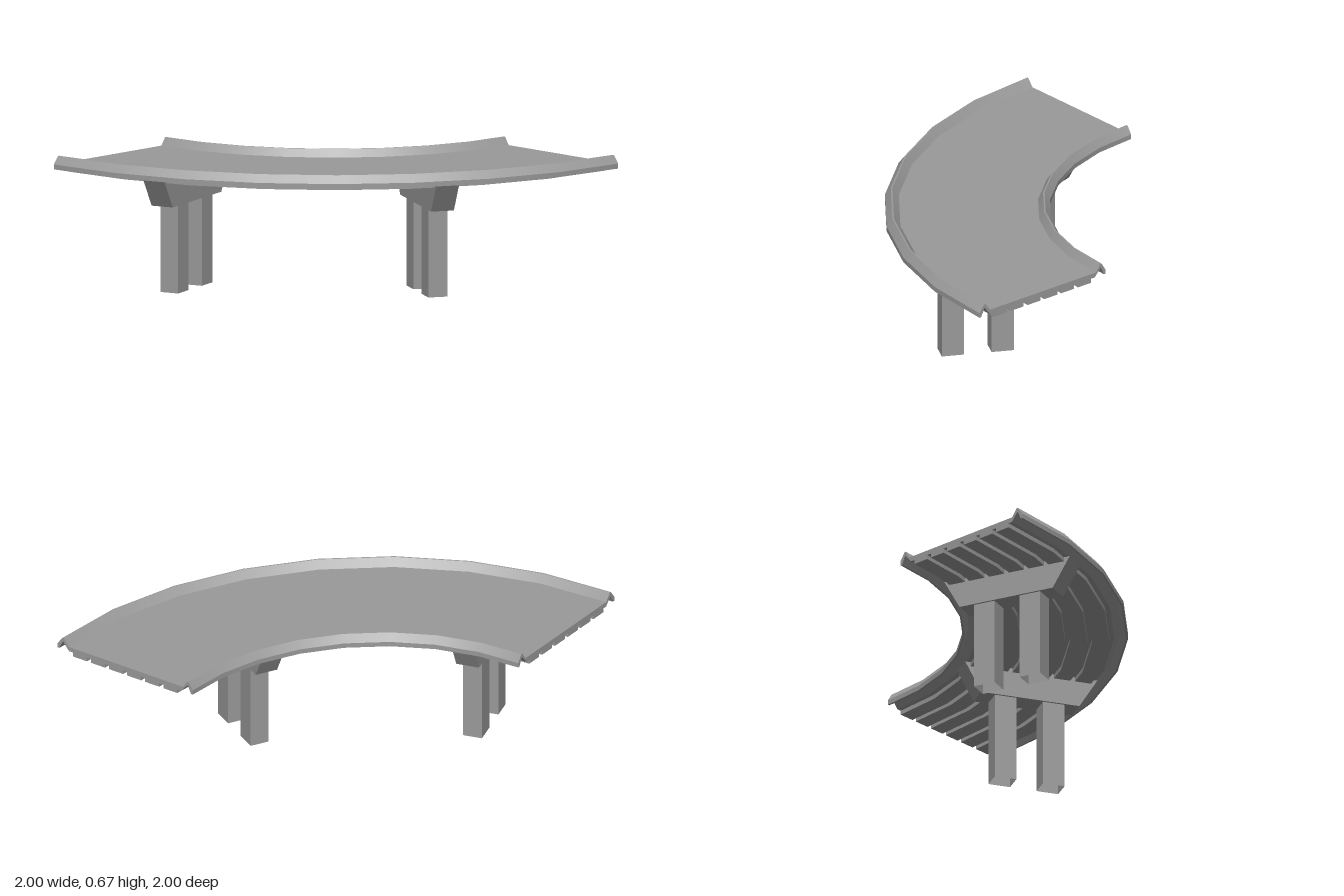
import * as THREE from 'three';
import { mergeGeometries } from 'three/addons/utils/BufferGeometryUtils.js';

const material = new THREE.MeshStandardMaterial({ color: 0x9a9a9a, side: THREE.DoubleSide });

const SEGMENTS = 8;

// Sweep a closed counter-clockwise (radius, y) profile through the quarter bend:
// smooth along the bend, sharp across the profile, with capped ends
function sweep(profile) {
  const points = profile.map(([r, y]) => new THREE.Vector2(r, y));
  const strips = points.map((p, i) => new THREE.LatheGeometry(
    [p, points[(i + 1) % points.length]], SEGMENTS, 0, Math.PI / 2));
  const endA = new THREE.ShapeGeometry(new THREE.Shape(points)).rotateY(-Math.PI / 2);
  const endB = new THREE.ShapeGeometry(new THREE.Shape(points));
  // turn the second cap's faces outwards
  const index = endB.index.array;
  for (let i = 0; i < index.length; i += 3) [index[i], index[i + 1]] = [index[i + 1], index[i]];
  endB.attributes.normal.array.forEach((v, i, a) => { a[i] = -v; });
  return mergeGeometries([...strips, endA, endB]);
}

function addMesh(parent, name, geometry) {
  const mesh = new THREE.Mesh(geometry, material);
  mesh.name = name;
  parent.add(mesh);
}

// Support: tapered cross beam along local x (the bend radius) on two hollow square legs
function createPier() {
  const pier = new THREE.Group();
  pier.name = 'pier';
  const thickness = 0.12;
  const outline = new THREE.Shape([
    [1.315, 0.45], [1.835, 0.45], [1.93, 0.605], [1.23, 0.605],
  ].map(([x, y]) => new THREE.Vector2(x, y)));
  addMesh(pier, 'crossBeam', new THREE.ExtrudeGeometry(outline, { depth: thickness, bevelEnabled: false })
    .translate(0, 0, -thickness / 2));
  for (const radius of [1.448, 1.703]) {
    const leg = new THREE.CylinderGeometry(Math.SQRT1_2, Math.SQRT1_2, 1, 4, 1, true)
      .rotateY(Math.PI / 4).scale(0.114, 0.45, 0.1).translate(radius, 0.225, 0).toNonIndexed();
    leg.computeVertexNormals();
    addMesh(pier, 'leg', leg);
  }
  return pier;
}

export function createModel() {
  const model = new THREE.Group();
  model.name = 'curvedElevatedRoad';

  // Everything turns about the centre of the bend
  const bend = new THREE.Group();
  bend.name = 'bend';
  bend.position.set(-1, 0, -1);
  model.add(bend);

  // Deck with peaked kerbs, hollow underneath
  addMesh(bend, 'deck', sweep([
    [1.24, 0.605], [1.93, 0.605], [1.967, 0.65], [1.99, 0.605],
    [2.0, 0.605], [2.0, 0.63], [1.97, 0.67], [1.962, 0.67], [1.93, 0.63],
    [1.23, 0.63], [1.205, 0.67], [1.197, 0.67], [1.17, 0.63], [1.17, 0.605],
    [1.18, 0.605], [1.201, 0.65],
  ]));

  // Broad girders with narrow gaps following the curve beneath the deck
  const girders = 6;
  const width = 0.086;
  const gap = 0.025;
  for (let i = 0; i < girders; i++) {
    const r = 1.265 + i * (width + gap);
    addMesh(bend, 'girder', sweep([
      [r, 0.583], [r + width, 0.583], [r + width, 0.607], [r, 0.607],
    ]));
  }

  // Two piers set radially beneath the deck
  for (const degrees of [28.2, 73.4]) {
    const pier = createPier();
    pier.rotation.y = -THREE.MathUtils.degToRad(degrees);
    bend.add(pier);
  }
  return model;
}
